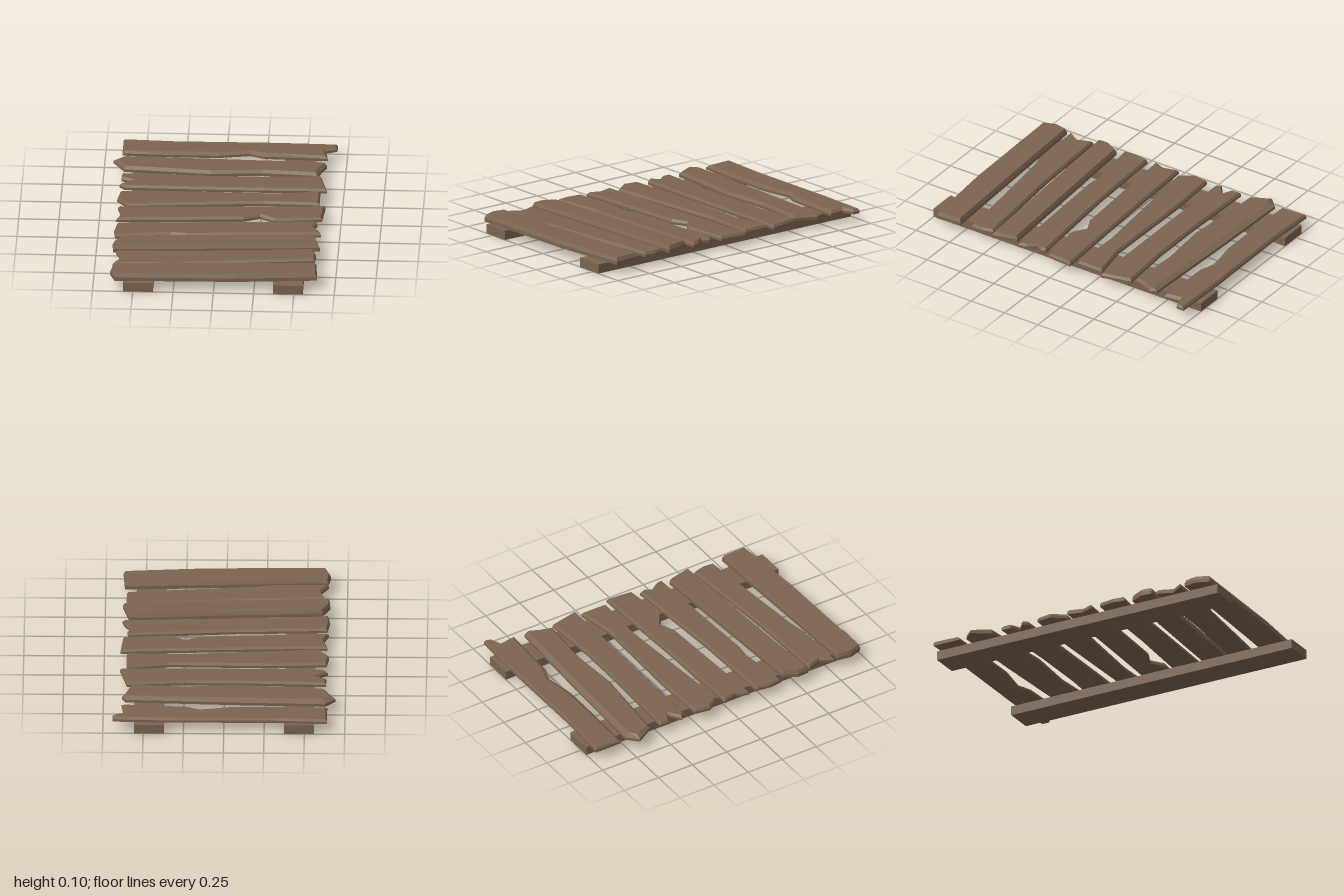
import * as THREE from 'three';

const RAIL_TOP = 0.06;

// Board with vertical lower sides and a chamfered upper edge.
// outline: x, z pairs running clockwise seen from above, from the back left corner.
// insets: chamfer widths on back, front and end edges.
function plankGeometry(outline, top, [back, front, end]) {
  const pts = [];
  for (let i = 0; i < outline.length; i += 2) pts.push(new THREE.Vector2(outline[i], outline[i + 1]));
  const n = pts.length;

  // inward normal and chamfer width of every edge
  const edges = pts.map((p, i) => {
    const d = pts[(i + 1) % n].clone().sub(p).normalize();
    const width = Math.abs(d.x) < 0.6 ? end : d.x > 0 ? back : front;
    return { normal: new THREE.Vector2(-d.y, d.x), width };
  });
  const inner = pts.map((p, i) => {
    const a = edges[(i + n - 1) % n], b = edges[i];
    const m = a.normal.clone().add(b.normal).normalize();
    const miter = Math.min(1 / Math.max(m.dot(b.normal), 0.1), 1.6);
    return p.clone().addScaledVector(m, miter * (a.width + b.width) / 2);
  });

  const shoulder = RAIL_TOP + (top - RAIL_TOP) * 0.5;
  const ring = (list, y) => list.map((p) => [p.x, y, p.y]);
  const rings = [ring(pts, RAIL_TOP), ring(pts, shoulder), ring(inner, top)];
  const pos = [];
  const tri = (a, b, c) => pos.push(...a, ...b, ...c);

  // sides and chamfer
  for (let r = 0; r < 2; r++) {
    for (let i = 0; i < n; i++) {
      const j = (i + 1) % n, lo = rings[r], hi = rings[r + 1];
      tri(lo[i], hi[i], hi[j]);
      tri(lo[i], hi[j], lo[j]);
    }
  }
  // top and underside
  const cap = (list, target, up) => {
    const flat = list.map((p) => new THREE.Vector2(p.x, -p.y));
    for (const [a, b, c] of THREE.ShapeUtils.triangulateShape(flat, [])) {
      const ccw = flat[b].clone().sub(flat[a]).cross(flat[c].clone().sub(flat[a])) > 0;
      if (ccw === up) tri(target[a], target[b], target[c]);
      else tri(target[a], target[c], target[b]);
    }
  };
  cap(inner, rings[2], true);
  cap(pts, rings[0], false);

  const geo = new THREE.BufferGeometry();
  geo.setAttribute('position', new THREE.Float32BufferAttribute(pos, 3));
  geo.computeVertexNormals();
  return geo;
}

export function createModel() {
  const model = new THREE.Group();
  model.name = 'plankWalkway';
  const wood = new THREE.MeshStandardMaterial({ color: 0x7d6450 });
  wood.name = 'brown wood';

  // two long rails underneath
  for (const [name, x] of [['leftRail', 0.4625], ['rightRail', -0.4675]]) {
    const rail = new THREE.Mesh(new THREE.BoxGeometry(0.185, RAIL_TOP, 2), wood);
    rail.position.set(x, RAIL_TOP / 2, 0);
    rail.name = name;
    model.add(rail);
  }

  // worn planks from back to front
  let count = 0;
  const plank = (outline, top = 0.09, insets = [0.01, 0.012, 0.01]) => {
    const mesh = new THREE.Mesh(plankGeometry(outline, top, insets), wood);
    mesh.name = `plank${++count}`;
    model.add(mesh);
  };

  plank([-0.64, -0.98, -0.32, -0.965, 0.32, -0.97, 0.69, -0.96, 0.69, -0.91, 0.62, -0.88,
    0.635, -0.775, 0.24, -0.79, 0.15, -0.825, -0.05, -0.79, -0.31, -0.79, -0.64, -0.8],
  0.09, [0.01, 0.027, 0.008]);
  plank([-0.625, -0.755, -0.1, -0.74, 0.615, -0.71, 0.635, -0.67, 0.605, -0.605, 0.58, -0.525,
    0.24, -0.55, -0.08, -0.525, -0.62, -0.57, -0.645, -0.615, -0.69, -0.69],
  0.096, [0.035, 0.016, 0.02]);
  plank([-0.63, -0.5, -0.13, -0.485, 0.24, -0.485, 0.605, -0.51, 0.65, -0.315, 0.24, -0.31,
    -0.23, -0.31, -0.61, -0.315, -0.64, -0.35, -0.565, -0.405, -0.63, -0.435]);
  plank([-0.63, -0.245, -0.285, -0.26, 0.35, -0.25, 0.61, -0.295, 0.61, -0.115, 0.27, -0.125,
    -0.58, -0.055, -0.645, -0.145]);
  plank([-0.635, -0.03, -0.18, -0.045, 0.65, -0.085, 0.635, 0.09, 0.34, 0.12, 0.25, 0.06,
    0.15, 0.105, -0.64, 0.145, -0.61, 0.065]);
  plank([-0.63, 0.2, -0.07, 0.18, 0.6, 0.13, 0.61, 0.165, 0.585, 0.205, 0.625, 0.26,
    0.64, 0.31, -0.19, 0.35, -0.295, 0.34, -0.635, 0.38, -0.645, 0.3]);
  plank([-0.6, 0.415, 0.6, 0.345, 0.64, 0.505, -0.64, 0.575, -0.645, 0.505], 0.105);
  plank([-0.62, 0.6, -0.07, 0.58, 0.6, 0.525, 0.62, 0.6, 0.615, 0.675, -0.19, 0.755,
    -0.29, 0.775, -0.635, 0.775, -0.585, 0.695]);
  plank([-0.63, 0.805, -0.02, 0.78, 0.63, 0.75, 0.64, 0.92, 0.14, 0.96, -0.615, 0.975,
    -0.645, 0.89], 0.105);

  return model;
}
